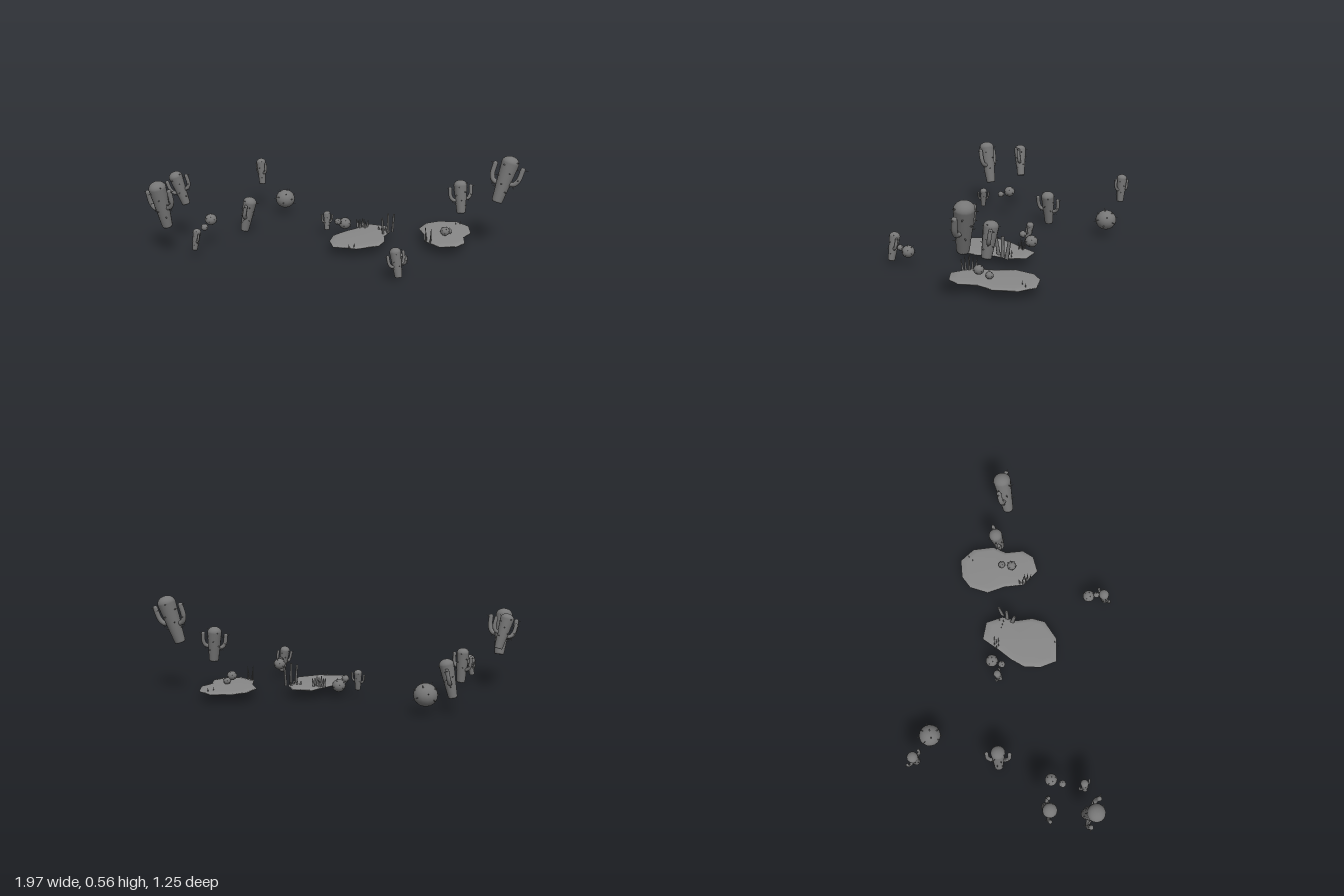
import * as THREE from 'three';
import { mergeGeometries } from 'three/addons/utils/BufferGeometryUtils.js';

const plantMaterial = new THREE.MeshStandardMaterial({ color: 0x767676, side: THREE.DoubleSide });
const pondMaterial = new THREE.MeshStandardMaterial({ color: 0x888888, side: THREE.DoubleSide });
const V = (x, y, z) => new THREE.Vector3(x, y, z);
const UP = V(0, 1, 0);

function mesh(geometry, name, material = plantMaterial) {
  const m = new THREE.Mesh(geometry, material);
  m.name = name;
  return m;
}

// A small cone standing on a surface point along its normal
function spine(point, normal, size) {
  const g = new THREE.ConeGeometry(size * 0.28, size * 1.3, 5);
  g.applyQuaternion(new THREE.Quaternion().setFromUnitVectors(UP, normal.clone().normalize()));
  return g.translate(...point.clone().addScaledVector(normal, size * 0.45).toArray());
}

// Tapered trunk with a domed top, two bent arms and spines, leaning from base to top
function columnCactus(base, top, rTop, rBase, armDir) {
  const group = new THREE.Group();
  group.name = 'columnCactus';
  const b = V(...base), axis = V(...top).sub(b), L = axis.length();
  const shoulder = L - rTop * 0.8;

  const profile = [new THREE.Vector2(0, 0), new THREE.Vector2(rBase * 0.9, 0), new THREE.Vector2(rBase, L * 0.03)];
  for (let i = 0; i <= 7; i++) {
    const a = (i / 7) * Math.PI / 2;
    profile.push(new THREE.Vector2(Math.max(rTop * Math.cos(a), 0), shoulder + rTop * 0.8 * Math.sin(a)));
  }
  group.add(mesh(new THREE.LatheGeometry(profile, 16), 'trunk'));

  // Arms leave the trunk sideways and turn upwards
  const spines = [], armR = rTop * 0.28;
  for (const side of [1, -1]) {
    const drop = side > 0 ? 0 : L * 0.05;
    const path = [[0.5, 0.43], [1.15, 0.46], [1.48, 0.56], [1.56, 0.8]]
      .map(([r, h]) => V(side * r * rTop, h * L - drop, 0));
    const tip = path[3];
    group.add(mesh(mergeGeometries([
      new THREE.TubeGeometry(new THREE.CatmullRomCurve3(path), 14, armR, 9),
      new THREE.SphereGeometry(armR, 9, 6).translate(tip.x, tip.y, tip.z),
    ]), 'arm'));
    spines.push(spine(tip.clone().add(V(side * armR, 0, 0)), V(side, 0.3, 0), rTop * 0.32));
    spines.push(spine(path[2].clone().add(V(0, 0, armR * side)), V(0, 0, side), rTop * 0.3));
    spines.push(spine(path[1].clone().add(V(0, -armR, 0)), V(side * 0.4, -1, 0), rTop * 0.3));
  }

  // Spines spiral up the trunk
  for (let i = 0; i < 14; i++) {
    const a = i * 2.4 + 0.7, h = 0.25 + 0.7 * i / 14, y = h * L;
    const s = Math.max(0, (y - shoulder) / (rTop * 0.8));
    const r = s > 0 ? rTop * Math.sqrt(1 - s * s) : rBase + (rTop - rBase) * y / shoulder;
    const n = V(Math.cos(a), s, Math.sin(a)).normalize();
    spines.push(spine(V(Math.cos(a) * r, y, Math.sin(a) * r), n, rTop * 0.33));
  }
  group.add(mesh(mergeGeometries(spines), 'spines'));

  const y = axis.normalize(), x = V(...armDir);
  x.addScaledVector(y, -x.dot(y)).normalize();
  group.quaternion.setFromRotationMatrix(new THREE.Matrix4().makeBasis(x, y, x.clone().cross(y)));
  group.position.copy(b);
  return group;
}

// Ball cactus with spines spread over it
function roundCactus(center, r) {
  const group = new THREE.Group();
  group.name = 'roundCactus';
  group.add(mesh(new THREE.SphereGeometry(r, 16, 12).scale(1, 0.95, 1), 'ball'));
  const spines = [];
  for (let i = 0; i < 14; i++) {
    const y = 0.97 - 1.5 * i / 14, s = Math.sqrt(1 - y * y);
    const n = V(s * Math.cos(i * 2.4), y, s * Math.sin(i * 2.4));
    spines.push(spine(n.clone().multiplyScalar(r * 0.97), n, r * 0.25));
  }
  group.add(mesh(mergeGeometries(spines), 'spines'));
  group.position.set(...center);
  return group;
}

// Flat pond: rings of the outline with a smooth rim and a slightly raised top
function pond(outline) {
  const n = outline.length, pos = [], index = [];
  const cx = outline.reduce((s, p) => s + p[0], 0) / n, cz = outline.reduce((s, p) => s + p[1], 0) / n;
  const rings = [[0, 0.05], [1, 0.05], [1, 0.057], [0.82, 0.062], [0, 0.063]];
  for (const [s, y] of rings) {
    for (const [x, z] of outline) pos.push(cx + (x - cx) * s, y, cz + (z - cz) * s);
  }
  for (let r = 0; r < rings.length - 1; r++) {
    for (let i = 0; i < n; i++) {
      const a = r * n + i, b = r * n + (i + 1) % n;
      index.push(a, b, a + n, b, b + n, a + n);
    }
  }
  const g = new THREE.BufferGeometry();
  g.setAttribute('position', new THREE.Float32BufferAttribute(pos, 3));
  g.setIndex(index);
  g.computeVertexNormals();
  return mesh(g, 'pond', pondMaterial);
}

// Clump of flat blades fanning out along an angle, tip is the width left at the top
function reeds([x, z], angle, count, height, width, spread, tip) {
  const blades = [];
  for (let i = 0; i < count; i++) {
    const t = i / (count - 1) - 0.5;
    const h = height * (1 - 0.4 * Math.abs(t) - (i % 2) * 0.1);
    const g = new THREE.CylinderGeometry(width * 0.5 * tip, width * 0.5, h, 8, 2);
    g.scale(1, 1, 0.4).translate(0, h / 2, 0).rotateZ(-t * 0.35);
    blades.push(g.translate(t * spread, 0, ((i % 3) - 1) * spread * 0.22));
  }
  const m = mesh(mergeGeometries(blades), 'reeds');
  m.rotation.y = angle;
  m.position.set(x, 0.055, z);
  return m;
}

export function createModel() {
  const model = new THREE.Group();
  model.name = 'desertPlants';

  // base, top, top radius, base radius, arm direction
  const columns = [
    [[-0.83, 0.17, 0.52], [-0.85, 0.445, 0.576], 0.05, 0.03, [1, 0, 0]],
    [[-0.86, 0.24, 0.295], [-0.908, 0.44, 0.335], 0.04, 0.024, [1, 0, -0.4]],
    [[-0.67, 0.003, -0.035], [-0.625, 0.22, -0.046], 0.042, 0.026, [0.2, 0, 1]],
    [[-0.80, 0.183, -0.472], [-0.81, 0.355, -0.475], 0.031, 0.021, [1, 0, 0.4]],
    [[0.83, 0.29, -0.40], [0.893, 0.555, -0.455], 0.052, 0.032, [1, 0, -0.05]],
    [[0.62, 0.195, -0.395], [0.6, 0.39, -0.415], 0.04, 0.027, [1, 0, -0.6]],
    [[-0.16, 0.04, -0.173], [-0.167, 0.155, -0.19], 0.022, 0.015, [1, 0, 0]],
    [[0.515, 0.02, 0.31], [0.485, 0.18, 0.3], 0.031, 0.02, [0.6, 0, -0.8]],
    [[-0.675, 0.04, 0.483], [-0.66, 0.165, 0.47], 0.023, 0.015, [0.8, 0, 0.6]],
  ];
  for (const c of columns) model.add(columnCactus(...c));

  const balls = [
    [[-0.62, 0.103, -0.463], 0.063],
    [[0.553, 0.078, -0.37], 0.021], [[0.555, 0.097, -0.305], 0.028],
    [[-0.075, 0.072, -0.25], 0.037], [[-0.09, 0.1, -0.183], 0.021],
    [[0.487, 0.082, 0.21], 0.036], [[0.5, 0.1, 0.255], 0.018],
    [[-0.695, 0.163, 0.285], 0.035], [[-0.695, 0.134, 0.352], 0.021],
  ];
  for (const b of balls) model.add(roundCactus(...b));

  model.add(pond([[0.05, -0.345], [0.16, -0.355], [0.22, -0.27], [0.22, -0.18], [0.26, -0.09], [0.26, -0.01],
    [0.17, 0.09], [0.03, 0.125], [-0.03, 0.045], [-0.055, -0.05], [-0.03, -0.145], [0.01, -0.235]]));
  model.add(pond([[0.52, -0.63], [0.615, -0.575], [0.665, -0.46], [0.65, -0.37], [0.69, -0.27], [0.665, -0.195],
    [0.58, -0.145], [0.465, -0.205], [0.42, -0.315], [0.355, -0.405], [0.36, -0.52], [0.415, -0.59]]));

  // Reeds along the pond edges
  model.add(reeds([0.04, -0.255], 0.3, 7, 0.065, 0.016, 0.055, 0.3));
  model.add(reeds([0.218, -0.238], Math.PI / 2, 3, 0.135, 0.026, 0.07, 0.8));
  model.add(reeds([0.18, -0.26], 0.5, 4, 0.035, 0.014, 0.05, 0.3));
  model.add(reeds([0.49, -0.2], -0.5, 6, 0.09, 0.014, 0.06, 0.3));
  model.add(reeds([0.14, 0.1], 1.2, 2, 0.035, 0.008, 0.03, 0.3));
  model.add(reeds([0.55, -0.57], 1.2, 2, 0.035, 0.008, 0.03, 0.3));
  return model;
}
